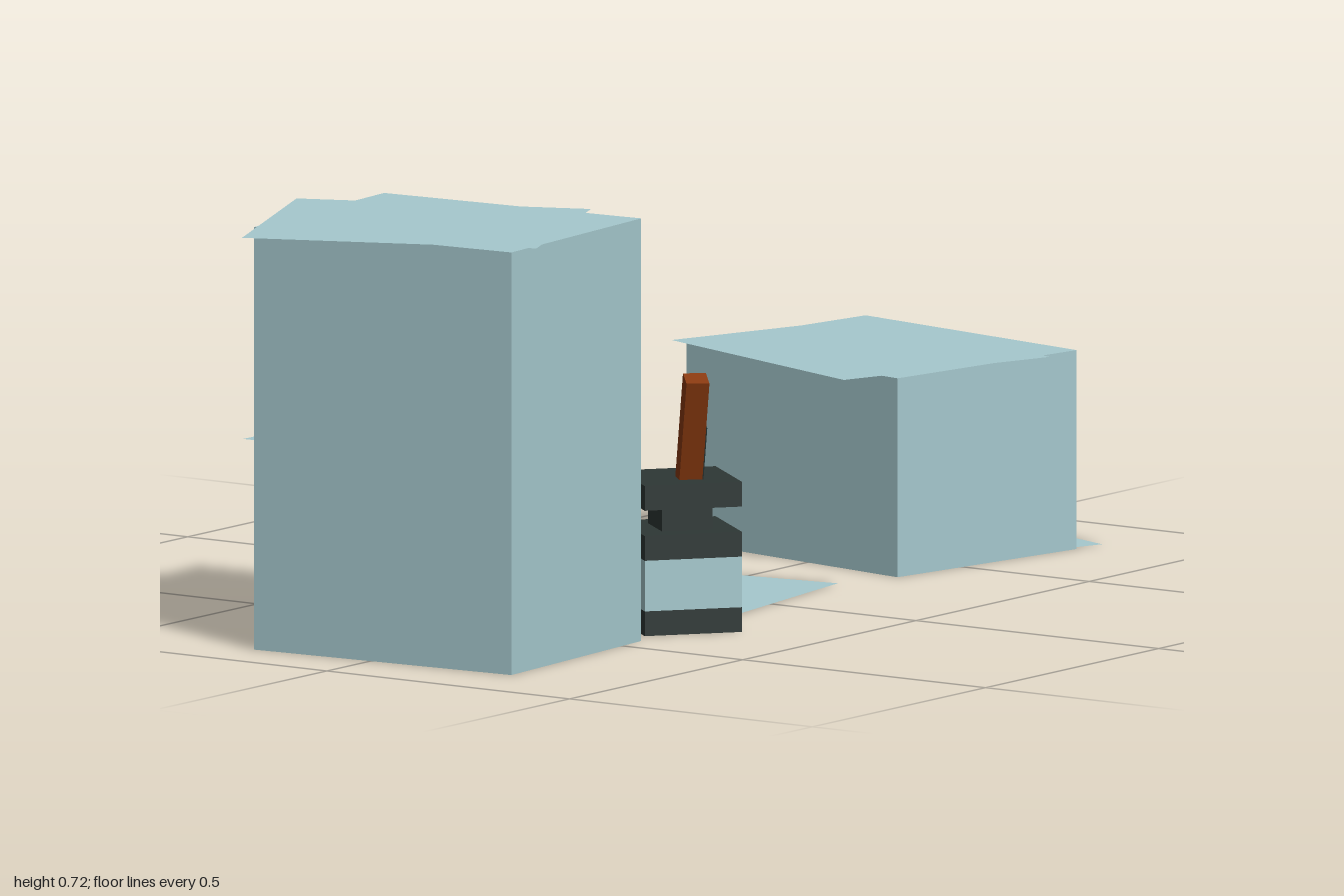
import * as THREE from 'three';

const W = 0.42, D = 0.506; // paper format

export function createModel() {
  const model = new THREE.Group();
  const mat = (name, color, side = THREE.FrontSide) =>
    Object.assign(new THREE.MeshStandardMaterial({ color, side }), { name });
  const paper = mat('paleBlue', 0xa6c9ce, THREE.DoubleSide);
  const dark = mat('darkInk', 0x2e3735);
  const wood = mat('brownWood', 0x8a3a10);

  const box = (name, parent, material, w, h, d, x, y, z, yaw = 0) => {
    const mesh = new THREE.Mesh(new THREE.BoxGeometry(w, h, d), material);
    mesh.name = name;
    mesh.position.set(x, y + h / 2, z); // y is the underside
    mesh.rotation.y = yaw;
    parent.add(mesh);
    return mesh;
  };

  const sheetGeometry = new THREE.PlaneGeometry(W, D).rotateX(-Math.PI / 2);
  const sheet = (name, x, y, z, yaw) => {
    const mesh = new THREE.Mesh(sheetGeometry, paper);
    mesh.name = name;
    mesh.position.set(x, y, z);
    mesh.rotation.y = yaw;
    model.add(mesh);
  };

  // Paper stacks
  box('tallPaperStack', model, paper, 0.416, 0.718, D, -0.665, 0, 0.01, 0.069);
  box('lowPaperStack', model, paper, W, 0.338, D, 0.6, 0, 0.001, -0.177);

  // Loose sheets, on and between the stacks and on the ground
  sheet('tallStackTopSheet', -0.709, 0.7195, -0.023, 0.4);
  sheet('tallStackMiddleSheet', -0.62, 0.342, -0.04, -0.036);
  sheet('lowStackTopSheet', 0.558, 0.3395, -0.0125, -0.343);
  sheet('lowStackBottomSheet', 0.71, 0.001, -0.0125, -0.343);
  sheet('groundSheet', -0.008, 0.001, -0.05, 0.138);

  // Square ink bottle, from the base up
  const bottle = new THREE.Group();
  bottle.name = 'inkBottle';
  bottle.position.set(-0.277, 0, 0.212);
  bottle.rotation.y = Math.PI / 4 + 0.1;
  model.add(bottle);
  [
    ['bottleBase', dark, 0.169, 0, 0.042],
    ['bottleGlass', paper, 0.169, 0.042, 0.128],
    ['bottleShoulder', dark, 0.169, 0.128, 0.17],
    ['bottleNeck', dark, 0.088, 0.17, 0.213],
    ['bottleRim', dark, 0.169, 0.213, 0.255],
  ].forEach(([name, material, s, y0, y1]) => box(name, bottle, material, s, y1 - y0, s, 0, y0, 0));

  // Leaning pen standing in the bottle
  const pen = new THREE.Group();
  pen.name = 'pen';
  pen.position.set(-0.279, 0.24, 0.23);
  pen.quaternion.setFromUnitVectors(
    new THREE.Vector3(0, 1, 0),
    new THREE.Vector3(-0.21, 1, 0.235).normalize()
  );
  model.add(pen);
  const holder = new THREE.Group();
  holder.name = 'penHolder';
  holder.rotation.y = Math.PI / 4;
  pen.add(holder);
  box('penShaft', holder, wood, 0.039, 0.202, 0.039, 0, 0, 0);
  box('penNibPlate', holder, dark, 0.038, 0.118, 0.003, 0, 0, 0.02);

  return model;
}
